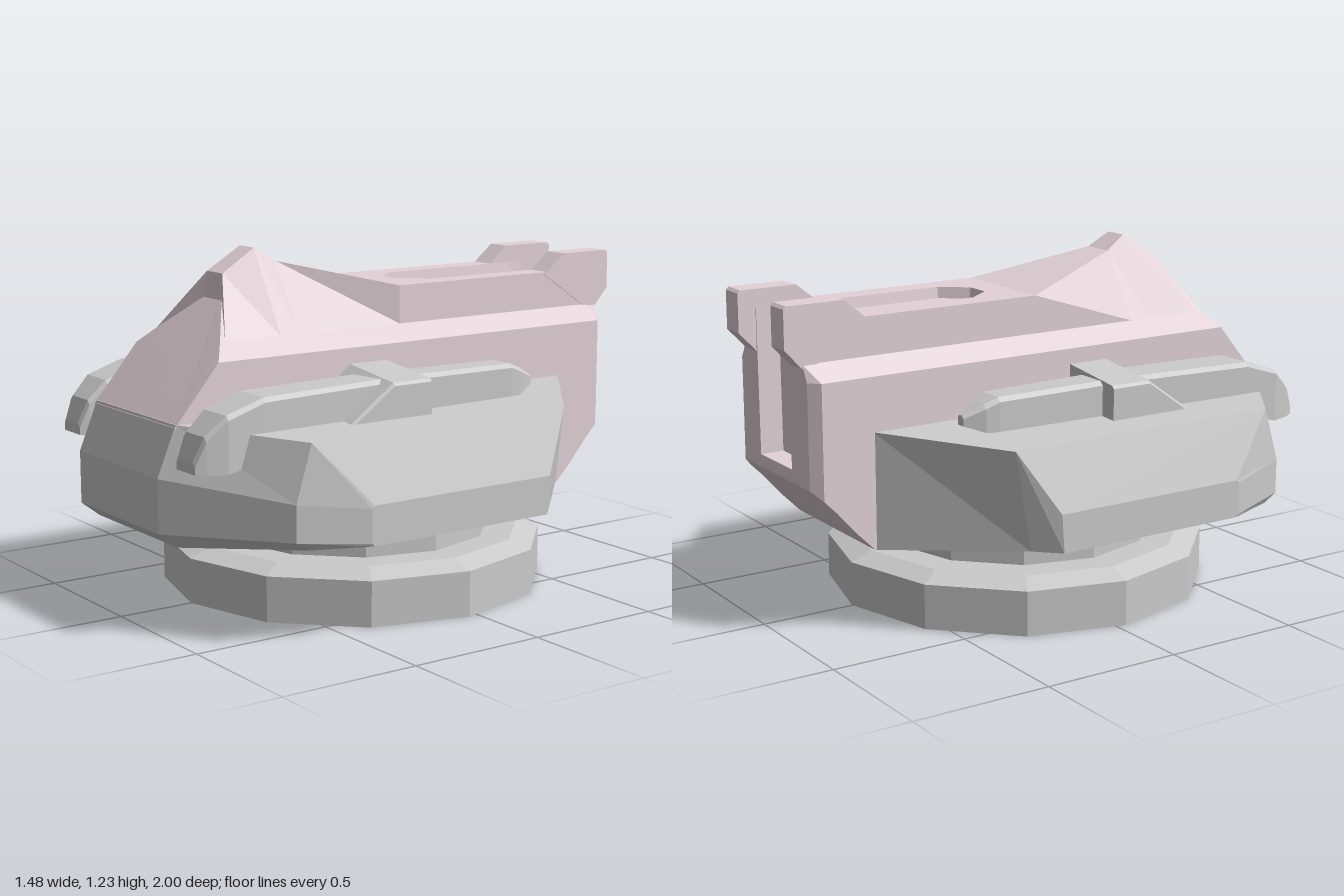
import * as THREE from 'three';

const GREY = 0xcccccc, PINK = 0xe4d3d9;

function part(name, geometry, color = GREY, side = THREE.FrontSide) {
  const mesh = new THREE.Mesh(geometry, new THREE.MeshStandardMaterial({ color, flatShading: true, side }));
  mesh.name = name;
  return mesh;
}

// Skins a list of closed loops of [x, y, z] and caps both ends.
// Loops run counter-clockwise seen from the last section; flat() gives 2D cap coordinates.
function loft(sections, flat = (p) => [p[0], p[1]]) {
  const n = sections[0].length, last = sections.length - 1, index = [];
  for (let s = 0; s < last; s++) {
    for (let i = 0; i < n; i++) {
      const j = (i + 1) % n, a = s * n + i, b = s * n + j;
      index.push(a, b, b + n, a, b + n, a + n);
    }
  }
  for (const [s, sign] of [[0, -1], [last, 1]]) {
    const pts = sections[s].map((p) => new THREE.Vector2(...flat(p)));
    for (const [a, b, c] of THREE.ShapeUtils.triangulateShape(pts, [])) {
      const ccw = THREE.ShapeUtils.area([pts[a], pts[b], pts[c]]) > 0;
      const o = s * n;
      if (ccw === sign > 0) index.push(o + a, o + b, o + c);
      else index.push(o + a, o + c, o + b);
    }
  }
  const g = new THREE.BufferGeometry();
  g.setAttribute('position', new THREE.Float32BufferAttribute(sections.flat(2), 3));
  g.setIndex(index);
  const out = g.toNonIndexed();
  out.computeVertexNormals();
  return out;
}

// Reflects a loop to the other side while keeping its direction.
const sided = (loop, s) => (s > 0 ? loop : loop.map(([x, y, z]) => [-x, y, z]).reverse());

// Box-like section with bevelled upper corners.
function bar(z, x0, x1, y0, y1, b = 0.015) {
  return [[x0, y0, z], [x1, y0, z], [x1, y1 - b, z], [x1 - b, y1, z], [x0 + b, y1, z], [x0, y1 - b, z]];
}

// Hull: side profiles [z, y] at growing x, mirrored
function hull() {
  const half = [
    [0.27, [[0.93, 0.29], [-0.71, 0.29], [-0.71, 0.7], [0.93, 0.7], [1, 0.53], [1, 0.345]]],
    [0.66, [[0.67, 0.325], [-0.34, 0.325], [-0.4, 0.675], [0.66, 0.675], [0.72, 0.48], [0.72, 0.355]]],
    [0.74, [[0.47, 0.325], [-0.26, 0.325], [-0.27, 0.46], [0.47, 0.46], [0.48, 0.45], [0.48, 0.335]]],
  ];
  const at = (x, profile) => profile.map(([z, y]) => [x, y, z]);
  const sections = [
    ...half.slice().reverse().map(([x, p]) => at(-x, p)),
    ...half.map(([x, p]) => at(x, p)),
  ];
  return loft(sections, (p) => [-p[2], p[1]]);
}

// Central housing: right half of each section runs bottom, edge, shoulder, top, groove lip, groove floor
function housing() {
  const mirror = (h) => [...h, ...h.slice().reverse().map(([x, y, z]) => [-x, y, z])];
  const rear = (z, low, floor, gx = 0.12, w = 0.275) => [
    [w, low, z], [w, 0.89, z], [0.21, 0.945, z], [0.21, 1.08, z], [gx, 1.08, z], [gx - 0.005, floor, z],
  ];
  const nose = (top, tx, zs, low) => [
    [0.275, low, zs[0]], [0.275, 0.89, zs[1]], [0.21, 0.945, zs[2]],
    [tx, top, zs[3]], [tx * 0.7, top, zs[3]], [tx * 0.4, top, zs[3]],
  ];
  return loft([
    rear(-0.935, 0.525, 0.57, 0.12, 0.24),
    rear(-0.9, 0.49, 0.57),
    rear(-0.85, 0.44, 0.57),
    rear(-0.849, 0.438, 1.0),
    rear(-0.78, 0.36, 1.04),
    rear(-0.71, 0.29, 1.04),
    rear(-0.22, 0.35, 1.04),
    rear(-0.13, 0.35, 1.04, 0.05),
    rear(-0.125, 0.35, 1.08, 0.05),
    rear(-0.02, 0.35, 1.08, 0.05),
    nose(1.18, 0.06, [0.4, 0.4, 0.4, 0.4], 0.4),
    nose(1.23, 0.045, [0.48, 0.48, 0.48, 0.48], 0.4),
    nose(1.15, 0.05, [0.88, 0.75, 0.7, 0.61], 0.4),
    nose(1.06, 0.06, [0.935, 0.766, 0.72, 0.62], 0.69),
  ].map(mirror));
}

// Upright fin at the rear, cut from its side outline
function rearFin(s) {
  const outline = [[-0.69, 1.07], [-0.7, 1.08], [-0.78, 1.145], [-0.99, 1.145], [-1, 1.135],
    [-1, 1.0], [-0.935, 0.93], [-0.9, 0.93]];
  const x = s * 0.168, w = 0.045;
  return loft([x - w, x + w].map((px) => outline.map(([z, y]) => [px, y, z]).reverse()),
    (p) => [-p[2], p[1]]);
}

export function createModel() {
  const model = new THREE.Group();
  model.name = 'turret';

  // Open ring base with neck
  const ring = [[0.69, 0], [0.69, 0.16], [0.61, 0.19], [0.5, 0.19], [0.5, 0.31]];
  const base = part('baseRing',
    new THREE.LatheGeometry(ring.map(([x, y]) => new THREE.Vector2(x, y)), 12), GREY, THREE.DoubleSide);
  base.position.z = 0.035;
  const hub = part('hubDisc', new THREE.CylinderGeometry(0.21, 0.21, 0.02, 32));
  hub.position.set(0, 0.295, 0.035);
  model.add(base, hub, part('hull', hull()), part('housing', housing(), PINK));

  for (const s of [1, -1]) {
    const side = s > 0 ? 'left' : 'right';
    const piece = (name, sections) =>
      model.add(part(side + name, loft(sections.map((loop) => sided(loop, s)))));

    model.add(part(side + 'RearFin', rearFin(s), PINK));

    // Pointed strip behind the clamp
    piece('RearStrip', [
      bar(-0.45, 0.385, 0.42, 0.715, 0.75, 0.01),
      bar(-0.38, 0.352, 0.452, 0.69, 0.785),
      bar(-0.33, 0.34, 0.46, 0.66, 0.805),
      bar(0.15, 0.33, 0.472, 0.66, 0.81),
    ]);

    // Drooping strip over the front edge
    piece('FrontStrip', [
      bar(0.2, 0.315, 0.475, 0.65, 0.81),
      bar(0.72, 0.315, 0.488, 0.6, 0.8),
      bar(0.86, 0.32, 0.485, 0.565, 0.755),
      bar(0.93, 0.325, 0.465, 0.565, 0.69),
      bar(0.965, 0.335, 0.45, 0.57, 0.61),
    ]);

    // Clamp across the strips, sloping down at the front
    const clamp = (z, yIn, yOut) => [
      [0.272, 0.65, z], [0.535, 0.65, z], [0.535, yOut - 0.01, z], [0.525, yOut, z], [0.272, yIn, z],
    ];
    piece('Clamp', [clamp(0.085, 0.835, 0.805), clamp(0.24, 0.835, 0.805), clamp(0.41, 0.695, 0.685)]);
  }
  return model;
}
